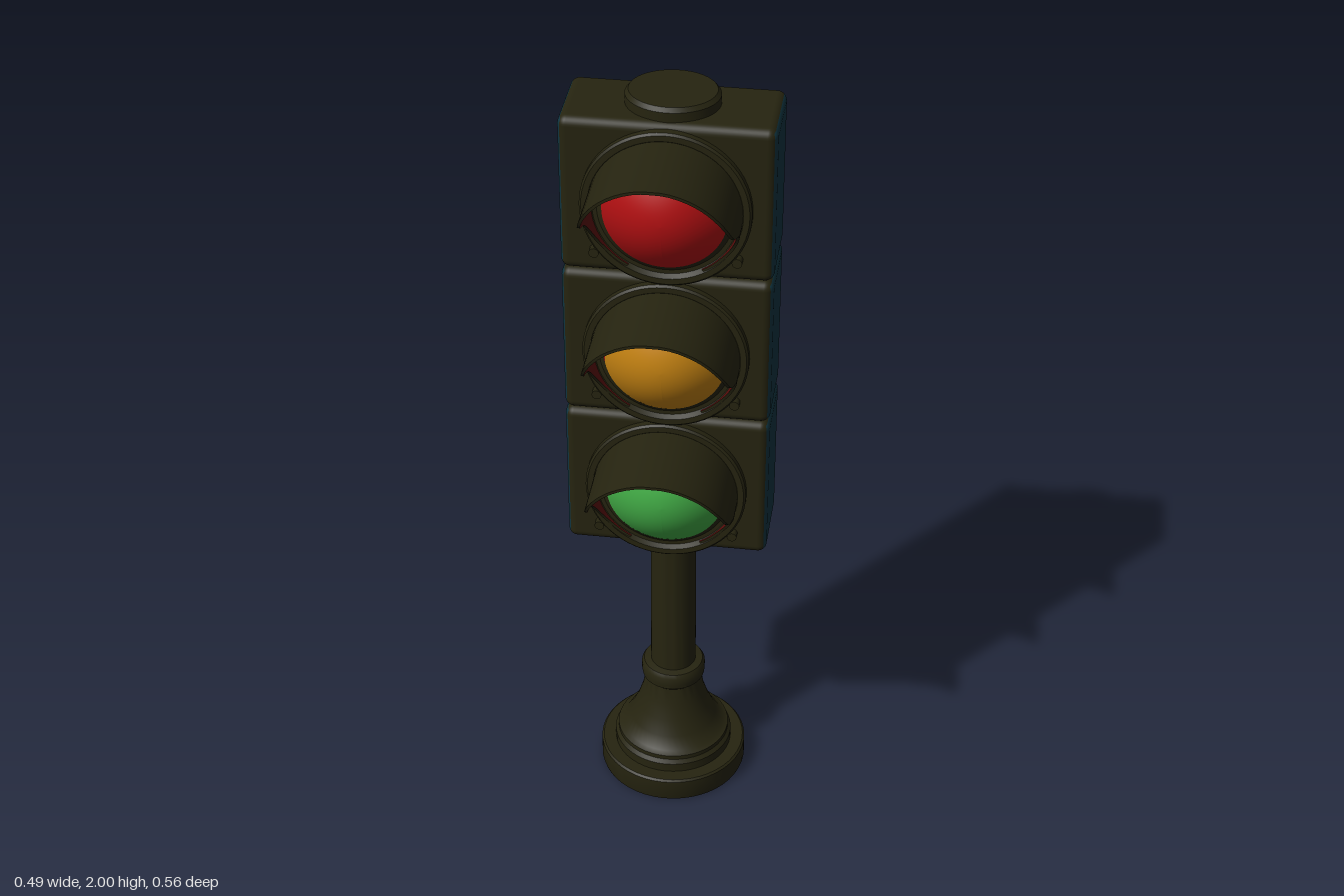
import * as THREE from 'three';
import { toCreasedNormals } from 'three/addons/utils/BufferGeometryUtils.js';
import { RoundedBoxGeometry } from 'three/addons/geometries/RoundedBoxGeometry.js';

const material = (name, color) => {
  const m = new THREE.MeshStandardMaterial({ color, side: THREE.DoubleSide });
  m.name = name;
  return m;
};

// Surface from a rule point(u, v), with u and v running 0..1
function surface(point, nu, nv) {
  const pos = [], index = [];
  for (let i = 0; i <= nu; i++) {
    for (let j = 0; j <= nv; j++) pos.push(...point(i / nu, j / nv));
  }
  for (let i = 0; i < nu; i++) {
    for (let j = 0; j < nv; j++) {
      const a = i * (nv + 1) + j, b = a + nv + 1;
      index.push(a, a + 1, b, b, a + 1, b + 1);
    }
  }
  const g = new THREE.BufferGeometry();
  g.setAttribute('position', new THREE.Float32BufferAttribute(pos, 3));
  g.setIndex(index);
  g.computeVertexNormals();
  return g;
}

const lathe = (points, segments = 48) => toCreasedNormals(
  new THREE.LatheGeometry(points.map(([r, y]) => new THREE.Vector2(r, y)), segments), 0.6);

export function createModel() {
  const body = material('darkOlive', 0x262410);
  const panel = material('deepBlue', 0x0f3440);
  const red = material('redGlass', 0xb21012);
  const amber = material('amberGlass', 0xc48212);
  const green = material('greenGlass', 0x42ac46);
  const lining = material('darkRed', 0x5a0f0c);

  const model = new THREE.Group();
  model.name = 'trafficLight';
  const add = (parent, name, geometry, mat, x = 0, y = 0, z = 0) => {
    const mesh = new THREE.Mesh(geometry, mat);
    mesh.name = name;
    mesh.position.set(x, y, z);
    parent.add(mesh);
    return mesh;
  };

  // Pedestal: stepped foot, flared cone, collar, pole and top flange
  add(model, 'pedestal', lathe([
    [0, 0], [0.188, 0], [0.19, 0.006], [0.19, 0.06], [0.185, 0.065], [0.153, 0.065],
    [0.153, 0.09], [0.145, 0.1], [0.145, 0.112], [0.132, 0.118], [0.112, 0.15],
    [0.094, 0.19], [0.08, 0.235], [0.072, 0.28], [0.08, 0.288], [0.082, 0.3],
    [0.082, 0.322], [0.076, 0.332], [0.058, 0.335], [0.057, 0.77], [0.088, 0.77],
    [0.09, 0.784], [0.105, 0.788], [0.105, 0.81], [0, 0.81],
  ]), body, 0, 0, -0.0875);

  // Cap on top of the housing
  const cap = add(model, 'topCap', lathe([
    [0.108, 1.955], [0.108, 1.99], [0.1, 2], [0, 2],
  ]), body, 0, 0, -0.07);
  cap.scale.z = 0.89;

  // Visor edge: angle from the top against forward reach
  const edge = new THREE.CatmullRomCurve3([
    [0, 0.278], [35, 0.268], [63, 0.243], [80, 0.205], [90, 0.143], [103, 0.098],
    [126, 0.064], [150, 0.058],
  ].map(([a, z]) => new THREE.Vector3(THREE.MathUtils.degToRad(a), z, 0)));
  const visorPoint = (u, r, t) => {
    const s = u * 2 - 1, p = edge.getPoint(Math.abs(s));
    const a = p.x * Math.sign(s);
    return [r * Math.sin(a), r * Math.cos(a), THREE.MathUtils.lerp(0.045, p.y, t)];
  };
  const outerVisor = surface((u, v) => visorPoint(u, 0.175, v), 72, 6);
  const innerVisor = surface((u, v) => visorPoint(u, 0.168, v), 72, 6);
  const visorLip = surface((u, v) => visorPoint(u, 0.168 + 0.007 * v, 1), 72, 1);

  const ring = lathe([
    [0.195, 0.03], [0.195, 0.055], [0.19, 0.06], [0.176, 0.06], [0.166, 0.052],
    [0.156, 0.052], [0.143, 0.063],
  ], 64).rotateX(Math.PI / 2);
  const screw = new THREE.CylinderGeometry(0.012, 0.012, 0.03, 12).rotateX(Math.PI / 2);

  // Domed glass, divided along a curve that dips towards the top
  const R = 0.145;
  const lens = (top, outside) => surface((u, v) => {
    const a = (u * 2 - 1) * Math.PI;
    const split = top + (R - top) * THREE.MathUtils.smoothstep(Math.abs(a), 0.1, 1.95);
    const r = outside ? THREE.MathUtils.lerp(split, R, v) : split * v;
    return [r * Math.sin(a), r * Math.cos(a), 0.06 + 0.07 * (1 - (r / R) ** 2)];
  }, 64, outside ? 5 : 12);

  // Three stacked signal units, from top to bottom
  const sides = [panel, panel, body, body, body, body];
  const units = [
    ['red', 1.774, red, R, null],
    ['amber', 1.384, amber, 0.09, red],
    ['green', 0.994, green, 0.122, body],
  ];
  for (const [name, y, glass, top, upper] of units) {
    const unit = new THREE.Group();
    unit.name = name + 'Signal';
    unit.position.y = y;
    model.add(unit);
    add(unit, 'housing', new RoundedBoxGeometry(0.49, 0.388, 0.21, 4, 0.022), sides, 0, 0, -0.065);

    const lamp = new THREE.Group();
    lamp.name = 'lamp';
    lamp.position.y = -0.012;
    unit.add(lamp);
    add(lamp, 'lampRing', ring, body);
    add(lamp, 'visor', outerVisor, body);
    add(lamp, 'visorLining', innerVisor, lining);
    add(lamp, 'visorLip', visorLip, body);
    add(lamp, 'lens', lens(top, false), glass);
    if (upper) add(lamp, 'upperLens', lens(top, true), upper);
    for (const s of [-1, 1]) add(lamp, 'screw', screw, body, s * 0.163, -0.122, 0.045);
  }
  return model;
}
